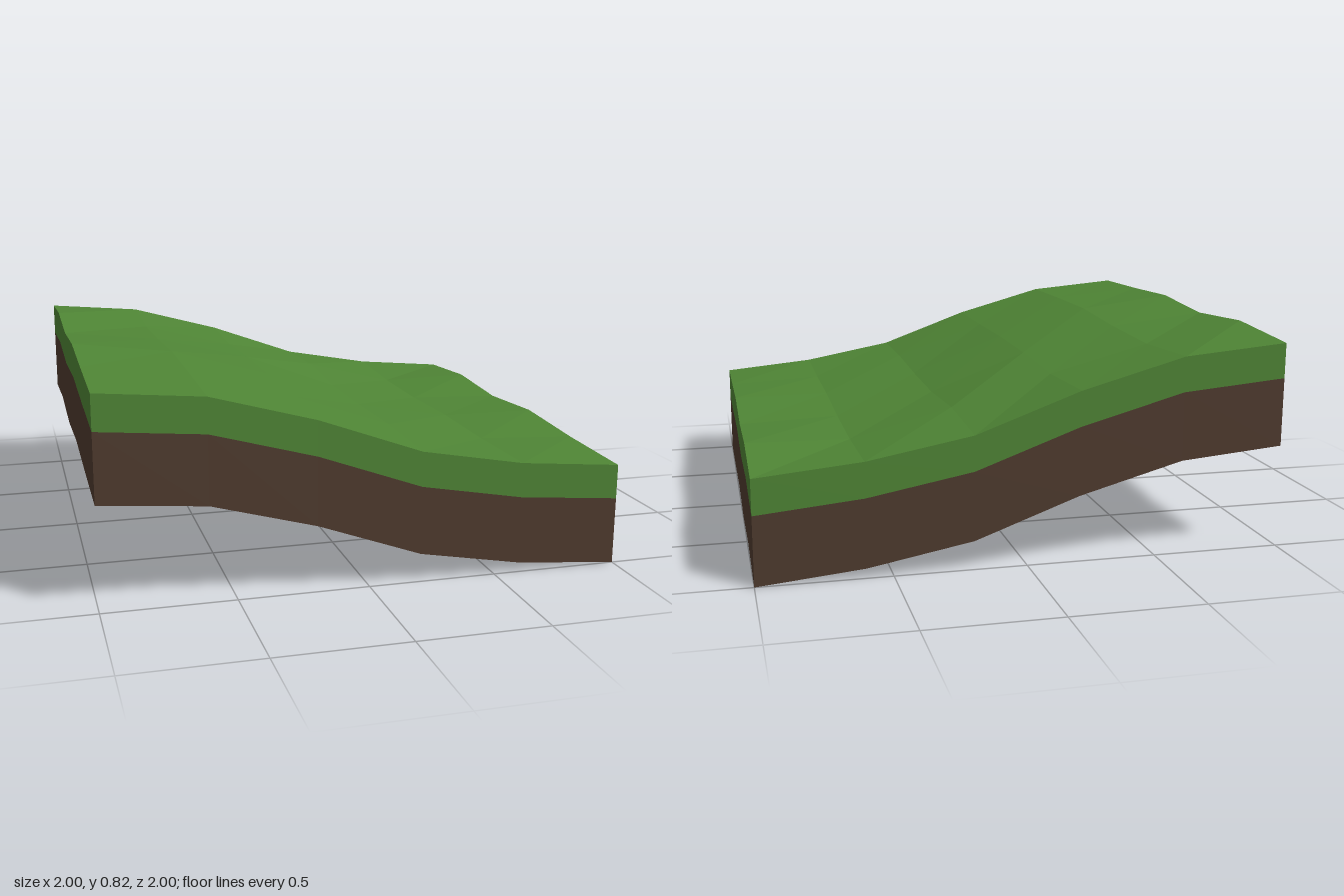
import * as THREE from 'three';

// Surface heights: rows run back to front (z -1 to 1), columns left to right (x -1 to 1).
const HEIGHTS = [
  [0.80, 0.765, 0.655, 0.51, 0.437, 0.40],
  [0.825, 0.745, 0.64, 0.525, 0.42, 0.427],
  [0.80, 0.755, 0.655, 0.503, 0.42, 0.405],
  [0.825, 0.775, 0.66, 0.505, 0.432, 0.43],
  [0.81, 0.772, 0.655, 0.515, 0.43, 0.41],
  [0.80, 0.765, 0.655, 0.51, 0.437, 0.40],
];
const N = 5;
const TURF = 0.135; // depth of the turf band
const DEPTH = 0.398; // depth of the whole tile edge

function material(name, color) {
  const m = new THREE.MeshStandardMaterial({ color, flatShading: true, side: THREE.DoubleSide });
  m.name = name;
  return m;
}

// Open band hanging below the tile's rim, between two depths
function rimBand(rim, from, to) {
  const pos = [];
  for (let i = 0; i < rim.length; i++) {
    const a = rim[i], b = rim[(i + 1) % rim.length];
    const at = [a.x, a.y - from, a.z], bt = [b.x, b.y - from, b.z];
    const ab = [a.x, a.y - to, a.z], bb = [b.x, b.y - to, b.z];
    pos.push(...at, ...ab, ...bb, ...at, ...bb, ...bt);
  }
  const g = new THREE.BufferGeometry();
  g.setAttribute('position', new THREE.Float32BufferAttribute(pos, 3));
  g.computeVertexNormals();
  return g;
}

export function createModel() {
  const group = new THREE.Group();
  group.name = 'slopedGroundTile';
  const grass = material('grass green', 0x4f8535);
  const soil = material('soil brown', 0x4f3b2e);

  const add = (name, geometry, mat) => {
    const mesh = new THREE.Mesh(geometry, mat);
    mesh.name = name;
    group.add(mesh);
  };

  // Faceted grass surface
  const top = new THREE.PlaneGeometry(2, 2, N, N).rotateX(-Math.PI / 2);
  const p = top.attributes.position;
  for (let i = 0; i < p.count; i++) p.setY(i, HEIGHTS[Math.floor(i / (N + 1))][i % (N + 1)]);
  top.computeVertexNormals();
  add('grassSurface', top, grass);

  // Rim, walked front, right, back, left so that the bands face outward
  const point = (c, r) => new THREE.Vector3(-1 + (2 * c) / N, HEIGHTS[r][c], -1 + (2 * r) / N);
  const rim = [];
  for (let i = 0; i < N; i++) rim.push(point(i, N));
  for (let i = 0; i < N; i++) rim.push(point(N, N - i));
  for (let i = 0; i < N; i++) rim.push(point(N - i, 0));
  for (let i = 0; i < N; i++) rim.push(point(0, i));

  add('turfEdge', rimBand(rim, 0, TURF), grass);
  add('soilEdge', rimBand(rim, TURF, DEPTH), soil);

  // Stand the lowest rim point on the ground
  group.position.y = DEPTH - 0.4;
  return group;
}
